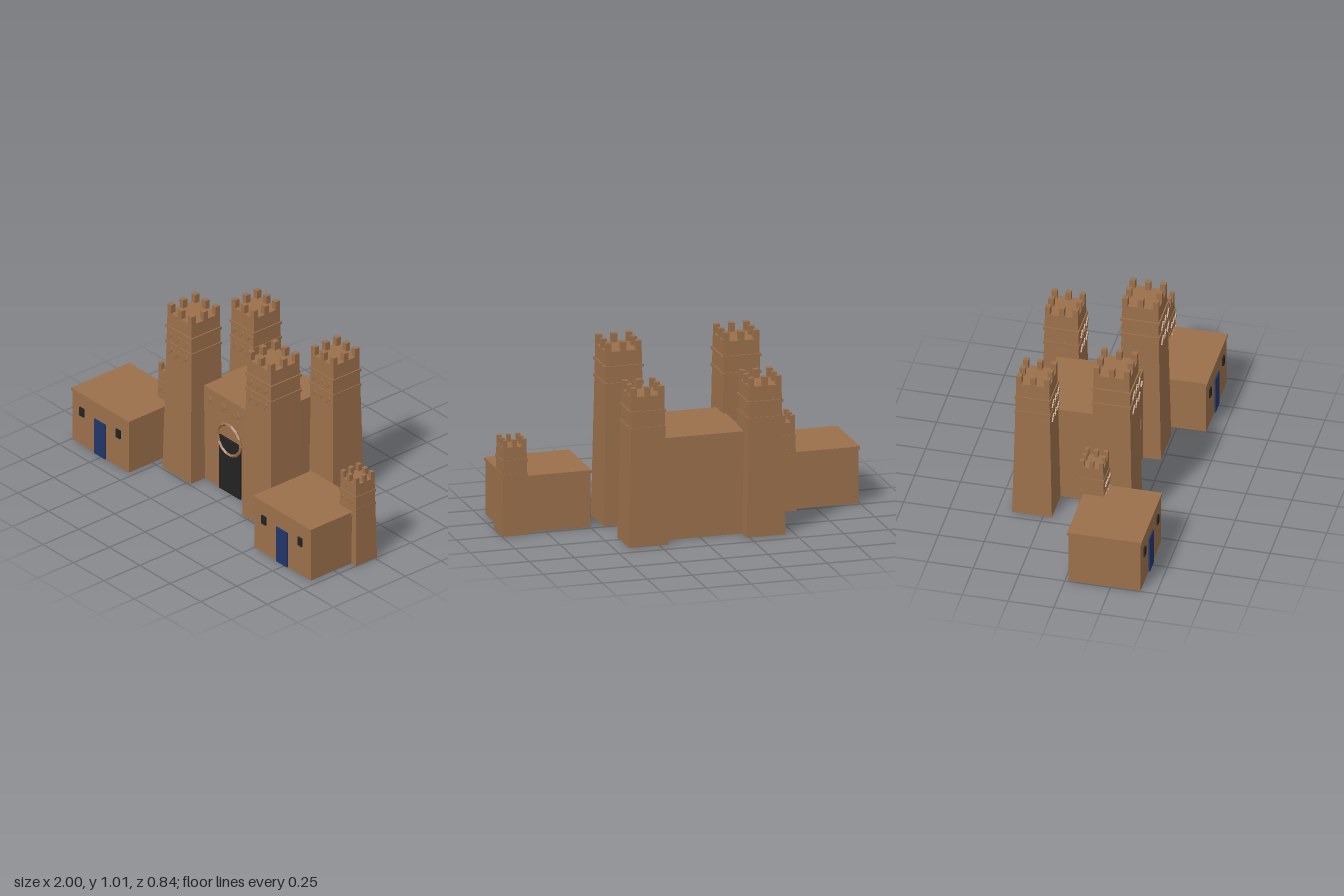
import * as THREE from 'three';

const brick = new THREE.MeshStandardMaterial({ color: 0x9b704b });
brick.name = 'mudBrick';
const blue = new THREE.MeshStandardMaterial({ color: 0x20366b });
blue.name = 'bluePaint';
const dark = new THREE.MeshStandardMaterial({ color: 0x232323 });
dark.name = 'darkOpening';

// Box standing on height y, centred on x and z
function box(parent, name, material, w, h, d, x, y, z) {
  const mesh = new THREE.Mesh(new THREE.BoxGeometry(w, h, d), material);
  mesh.name = name;
  mesh.position.set(x, y + h / 2, z);
  parent.add(mesh);
  return mesh;
}

// Square shaft that narrows towards its top
function taperedShaft(base, top, height) {
  const geometry = new THREE.BoxGeometry(base, height, base);
  const p = geometry.attributes.position;
  for (let i = 0; i < p.count; i++) {
    if (p.getY(i) > 0) p.setXYZ(i, p.getX(i) * top / base, p.getY(i), p.getZ(i) * top / base);
  }
  geometry.translate(0, height / 2, 0);
  geometry.computeVertexNormals();
  return geometry;
}

// Tower with two bands, eight merlons and two rows of slanted bricks on its front
function tower(name, x, z, s) {
  const group = new THREE.Group();
  group.name = name;
  group.position.set(x, 0, z);
  const shaft = new THREE.Mesh(taperedShaft(s.base, s.top, s.roof), brick);
  shaft.name = 'towerShaft';
  group.add(shaft);

  for (const y of s.bands) box(group, 'towerBand', brick, s.band, 0.015, s.band, 0, y, 0);

  const reach = (s.top - s.merlon) / 2;
  for (const i of [-1, 0, 1]) {
    for (const j of [-1, 0, 1]) {
      if (i || j) box(group, 'merlon', brick, s.merlon, s.height - s.roof, s.merlon, i * reach, s.roof, j * reach);
    }
  }

  for (const y of s.rows) {
    for (const i of [-1, 0, 1]) {
      const slat = box(group, 'slantedBrick', brick, s.top * 0.27, s.top * 0.11, 0.007,
        i * s.top * 0.31, y - s.top * 0.055, s.slatZ);
      slat.rotation.z = Math.PI / 4;
    }
  }
  return group;
}

// Flat-roofed house with a blue door and two windows
function house(name, x) {
  const group = new THREE.Group();
  group.name = name;
  group.position.x = x;
  box(group, 'houseWalls', brick, 0.462, 0.3, 0.394, 0, 0, 0.215);
  box(group, 'houseRoof', brick, 0.474, 0.016, 0.406, 0, 0.3, 0.215);
  box(group, 'houseDoor', blue, 0.09, 0.21, 0.008, -0.002, 0, 0.416);
  for (const side of [-1, 1]) {
    box(group, 'houseWindow', dark, 0.034, 0.05, 0.008, side * 0.149 - 0.001, 0.178, 0.416);
  }
  return group;
}

export function createModel() {
  const model = new THREE.Group();
  model.name = 'fortress';
  const cx = -0.017;

  // Central hall with its gate
  const hall = new THREE.Group();
  hall.name = 'hall';
  model.add(hall);
  box(hall, 'hallWalls', brick, 0.475, 0.565, 0.475, cx, 0, -0.098);
  box(hall, 'gate', dark, 0.174, 0.327, 0.009, cx, 0, 0.144);

  const ring = new THREE.Mesh(new THREE.TorusGeometry(0.092, 0.009, 4, 14), brick);
  ring.geometry = ring.geometry.toNonIndexed();
  ring.geometry.computeVertexNormals();
  ring.name = 'gateRing';
  ring.position.set(cx, 0.33, 0.151);
  hall.add(ring);

  // Row of diamond bricks over the gate
  for (let i = 0; i < 4; i++) {
    const diamond = box(hall, 'diamondBrick', brick, 0.032, 0.032, 0.009, -0.192 + i * 0.116, 0.487, 0.144);
    diamond.rotation.z = Math.PI / 4;
  }

  // Three tower sizes
  const frontSize = {
    base: 0.234, top: 0.197, roof: 0.958, height: 1.007, band: 0.215, merlon: 0.03,
    bands: [0.771, 0.864], rows: [0.741, 0.833], slatZ: 0.114,
  };
  const backSize = {
    base: 0.217, top: 0.181, roof: 0.827, height: 0.875, band: 0.197, merlon: 0.029,
    bands: [0.641, 0.732], rows: [0.612, 0.703], slatZ: 0.104,
  };
  const smallSize = {
    base: 0.147, top: 0.128, roof: 0.487, height: 0.527, band: 0.138, merlon: 0.023,
    bands: [0.326, 0.404], rows: [0.303, 0.38], slatZ: 0.075,
  };
  for (const side of [-1, 1]) {
    const label = side > 0 ? 'left' : 'right';
    model.add(tower(label + 'FrontTower', cx + side * 0.327, 0.121, frontSize));
    model.add(tower(label + 'BackTower', cx + side * 0.326, -0.311, backSize));
  }

  // Two matching houses, each with a corner tower
  for (const [label, x] of [['right', -0.763], ['left', 0.729]]) {
    model.add(house(label + 'House', x));
    model.add(tower(label + 'HouseTower', x + 0.196, 0.057, smallSize));
  }
  return model;
}
